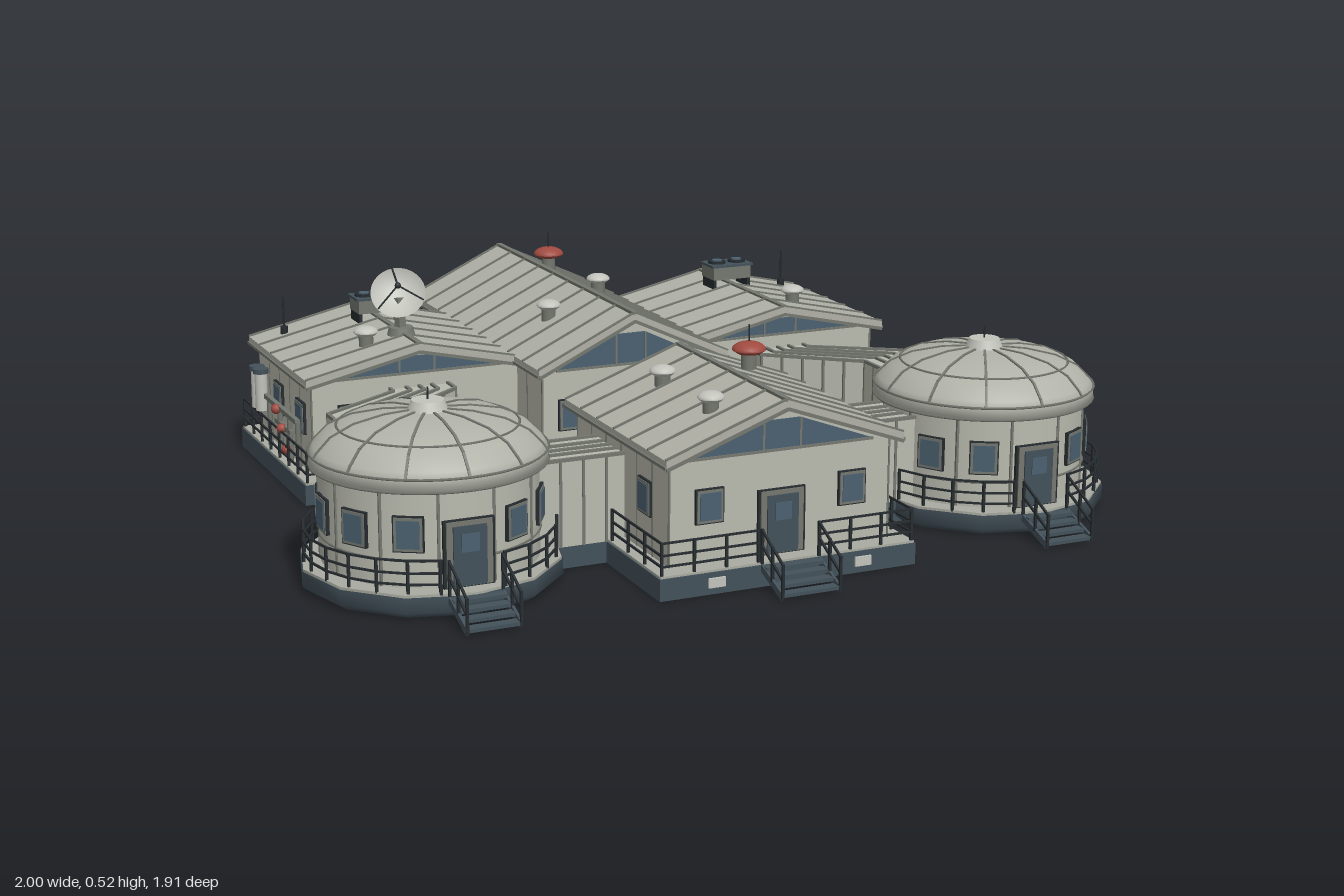
import * as THREE from 'three';

const mat = (name, color) => Object.assign(new THREE.MeshStandardMaterial({ color, side: THREE.DoubleSide }), { name });
const M = {
  wall: mat('wall panel', 0xb9baae), roof: mat('roof panel', 0xb0b1a7), seam: mat('seam grey', 0x74776f),
  deck: mat('deck grey', 0xa9aba1), base: mat('slate base', 0x43515a), glass: mat('blue glass', 0x4b6070),
  dark: mat('dark metal', 0x262c30), red: mat('signal red', 0xa04a40), pale: mat('pale vent', 0xc2c3bb),
};
const V = (x, y, z) => new THREE.Vector3(x, y, z);

function add(parent, name, geo, m, x = 0, y = 0, z = 0) {
  const mesh = new THREE.Mesh(geo, m);
  mesh.name = name;
  mesh.position.set(x, y, z);
  parent.add(mesh);
  return mesh;
}
function group(parent, name, x = 0, y = 0, z = 0, turn = 0) {
  const g = new THREE.Group();
  g.name = name;
  g.position.set(x, y, z);
  g.rotation.y = turn;
  parent.add(g);
  return g;
}
const box = (p, name, m, w, h, d, x, y, z) => add(p, name, new THREE.BoxGeometry(w, h, d), m, x, y, z);
const cyl = (p, name, m, r0, r1, h, x, y, z, n = 16) => add(p, name, new THREE.CylinderGeometry(r0, r1, h, n), m, x, y, z);

// Square bar from a to b
function beam(p, name, m, a, b, w, h = w) {
  const mesh = add(p, name, new THREE.BoxGeometry(w, h, a.distanceTo(b)), m);
  mesh.position.copy(a).lerp(b, 0.5);
  const o = new THREE.Object3D();
  o.position.copy(mesh.position);
  o.lookAt(b);
  mesh.quaternion.copy(o.quaternion);
}
const outline = pts => new THREE.Shape(pts.map(q => new THREE.Vector2(q[0], q[1])));
const extrude = (pts, depth) => new THREE.ExtrudeGeometry(outline(pts), { depth, bevelEnabled: false });

// Handrail with posts following [x, z] points on the deck
function railing(p, pts) {
  const g = group(p, 'railing');
  for (let i = 1; i < pts.length; i++) {
    const [ax, az] = pts[i - 1], [bx, bz] = pts[i];
    for (const y of [0.075, 0.1, 0.128]) beam(g, 'rail', M.dark, V(ax, y, az), V(bx, y, bz), 0.0045);
    const n = Math.max(1, Math.round(Math.hypot(bx - ax, bz - az) / 0.08));
    for (let k = 0; k <= n; k++) {
      box(g, 'railPost', M.dark, 0.006, 0.078, 0.006, ax + (bx - ax) * k / n, 0.091, az + (bz - az) * k / n);
    }
  }
}
function windowUnit(p, x, z, turn, y = 0.185) {
  const g = group(p, 'window', x, y, z, turn);
  box(g, 'windowFrame', M.dark, 0.068, 0.08, 0.008, 0, 0, 0.002);
  box(g, 'windowSurround', M.seam, 0.062, 0.074, 0.008, 0, 0, 0.004);
  box(g, 'windowPane', M.glass, 0.05, 0.062, 0.008, 0, 0, 0.006);
}
function door(p, x, z) {
  const g = group(p, 'door', x, 0.13, z);
  box(g, 'doorFrame', M.dark, 0.116, 0.15, 0.008, 0, 0, 0.003);
  box(g, 'doorSurround', M.seam, 0.104, 0.144, 0.009, 0, 0, 0.006);
  box(g, 'doorLeaf', M.base, 0.076, 0.132, 0.009, 0, -0.004, 0.01);
  box(g, 'doorPane', M.glass, 0.04, 0.04, 0.008, 0, 0.025, 0.013);
}
// Open steps going down towards +z
function stairs(p, x, z, w, run) {
  const g = group(p, 'stairs', x, 0, z);
  for (let i = 0; i < 4; i++) box(g, 'stairTread', M.base, w, 0.008, run / 4, 0, 0.046 - i * 0.012, run * (i + 0.5) / 4);
  for (const s of [-1, 1]) {
    const sx = s * w / 2;
    beam(g, 'stairStringer', M.base, V(sx, 0.045, 0), V(sx, 0.008, run), 0.006, 0.016);
    for (const dy of [0.04, 0.075]) beam(g, 'stairRail', M.dark, V(sx, 0.055 + dy, 0), V(sx, 0.005 + dy, run), 0.005);
    for (const t of [0, 0.5, 1]) box(g, 'stairPost', M.dark, 0.006, 0.08, 0.006, sx, 0.093 - t * 0.05, run * t);
  }
}
function platform(p, x0, x1, z0, z1) {
  const x = (x0 + x1) / 2, z = (z0 + z1) / 2;
  box(p, 'foundation', M.base, x1 - x0, 0.05, z1 - z0, x, 0.025, z);
  box(p, 'deck', M.deck, x1 - x0 - 0.006, 0.006, z1 - z0 - 0.006, x, 0.052, z);
}

// Gabled building, ridge along z; the roof overhangs the walls
function hall(p, name, x, half, z0, z1, eave, ridge, glazed) {
  const g = group(p, name, x), wz0 = z0 + 0.03, wz1 = z1 - 0.03, w = half - 0.02, t = 0.02;
  add(g, 'walls', extrude([[-w, 0.05], [w, 0.05], [w, eave + 0.005], [0, ridge - t], [-w, eave + 0.005]], wz1 - wz0), M.wall, 0, 0, wz0);
  add(g, 'roof', extrude([[-half, eave], [-half, eave + t], [0, ridge], [half, eave + t], [half, eave], [0, ridge - t]], z1 - z0), M.roof, 0, 0, z0);
  box(g, 'ridgeCap', M.seam, 0.014, 0.008, z1 - z0, 0, ridge, (z0 + z1) / 2);
  const n = Math.round((z1 - z0) / 0.1);
  for (const s of [-1, 1]) {
    for (let i = 0; i <= n; i++) {
      const z = z0 + 0.004 + (z1 - z0 - 0.008) * i / n;
      beam(g, 'roofSeam', M.seam, V(0, ridge, z), V(s * half, eave + t, z), 0.006, 0.008);
      const zw = wz0 + (wz1 - wz0) * i / n;
      box(g, 'wallSeam', M.seam, 0.004, eave - 0.055, 0.004, s * w, (eave + 0.055) / 2, zw);
    }
    box(g, 'eaveTrim', M.seam, 0.008, 0.007, z1 - z0, s * half, eave + 0.004, (z0 + z1) / 2);
    for (const z of [z0, z1]) beam(g, 'gableTrim', M.seam, V(0, ridge - t, z), V(s * half, eave, z), 0.006, 0.008);
  }
  // Gable glazing with mullions
  const a = half * 0.78, h = (ridge - eave - t) * 0.76, b = eave + 0.008;
  for (const z of glazed ? [wz0 - 0.004, wz1 - 0.002] : [wz1 - 0.002]) {
    add(g, 'gableWindow', extrude([[-a, b], [a, b], [a * 0.2, b + h * 0.85], [-a * 0.2, b + h * 0.85]], 0.006), M.glass, 0, 0, z);
    for (const m of [-0.2, 0.2]) box(g, 'gableMullion', M.seam, 0.005, h * 0.85, 0.009, m * a, b + h * 0.425, z + 0.003);
    box(g, 'gableSill', M.seam, 2 * a, 0.006, 0.012, 0, b, z + 0.003);
  }
  return g;
}

// Round pod; s is the side, +1 left or -1 right
function pod(p, s) {
  const g = group(p, 'domePod', s * 0.705, 0, 0.485);
  add(g, 'podFoundation', new THREE.LatheGeometry([[0, 0], [0.275, 0], [0.295, 0.015], [0.295, 0.05]].map(q => new THREE.Vector2(...q)), 12), M.base);
  cyl(g, 'podDeck', M.deck, 0.292, 0.292, 0.006, 0, 0.052, 0, 12);
  cyl(g, 'podWall', M.wall, 0.242, 0.242, 0.23, 0, 0.165, 0, 48);
  const prof = [[0.24, 0.262], [0.262, 0.268], [0.262, 0.298], [0.252, 0.312], [0.222, 0.342], [0.17, 0.366], [0.1, 0.38], [0, 0.386]];
  add(g, 'domeRoof', new THREE.LatheGeometry(prof.map(q => new THREE.Vector2(...q)), 48), M.roof);
  for (const [r, y] of [[0.262, 0.27], [0.263, 0.299], [0.2, 0.353], [0.243, 0.115]]) {
    add(g, 'ringSeam', new THREE.TorusGeometry(r, 0.003, 4, 48), M.seam, 0, y, 0).rotation.x = Math.PI / 2;
  }
  for (let i = 0; i < 12; i++) {
    const a = i * Math.PI / 6, b = a + Math.PI / 12;
    for (let k = 2; k < 7; k++) {
      const [r0, y0] = prof[k], [r1, y1] = prof[k + 1];
      beam(g, 'domeRib', M.seam, V(r0 * Math.sin(a), y0, r0 * Math.cos(a)), V(r1 * Math.sin(a), y1, r1 * Math.cos(a)), 0.006);
    }
    box(g, 'wallRib', M.seam, 0.006, 0.21, 0.006, 0.242 * Math.sin(b), 0.16, 0.242 * Math.cos(b));
    if (i === 0) door(g, 0, 0.243);
    else if (i !== 6 && i !== (s > 0 ? 9 : 3)) windowUnit(g, 0.242 * Math.sin(a), 0.242 * Math.cos(a), a, 0.175);
  }
  cyl(g, 'domeCap', M.pale, 0.036, 0.045, 0.022, 0, 0.394, 0, 24);
  cyl(g, 'domeSpike', M.dark, 0.002, 0.002, 0.03, 0, 0.418, 0, 6);
  for (const [from, to] of [[15, 157], [203, 254], [286, 345]]) {
    const n = Math.round((to - from) / 14);
    railing(g, Array.from({ length: n + 1 }, (_, i) => {
      const a = THREE.MathUtils.degToRad(from + (to - from) * i / n);
      return [s * 0.28 * Math.sin(a), 0.28 * Math.cos(a)];
    }));
  }
  stairs(g, 0, 0.29, 0.12, 0.105);
}

// Covered corridor between two edge lines of [x, z] points
function corridor(p, inner, outer) {
  const g = group(p, 'corridor');
  const pts = [...outer, ...[...inner].reverse()].map(([x, z]) => [x, -z]);
  add(g, 'corridorBase', extrude(pts, 0.05), M.base).rotation.x = -Math.PI / 2;
  add(g, 'corridorBody', extrude(pts, 0.2), M.wall, 0, 0.05, 0).rotation.x = -Math.PI / 2;
  for (let i = 1; i < inner.length; i++) {
    for (const t of [0, 0.28, 0.5, 0.72, 1]) {
      const at = k => V(inner[k][0] + (outer[k][0] - inner[k][0]) * t, 0.252, inner[k][1] + (outer[k][1] - inner[k][1]) * t);
      beam(g, 'corridorRoofRib', M.seam, at(i - 1), at(i), 0.008);
    }
    for (const e of [inner, outer]) {
      const [ax, az] = e[i - 1], [bx, bz] = e[i], n = Math.round(Math.hypot(bx - ax, bz - az) / 0.05);
      for (let k = 0; k <= n; k++) box(g, 'corridorWallRib', M.seam, 0.006, 0.2, 0.006, ax + (bx - ax) * k / n, 0.15, az + (bz - az) * k / n);
    }
  }
}
// Mushroom vent, or a red beacon with a spike
function vent(p, x, y, z, red) {
  const g = group(p, red ? 'beacon' : 'roofVent', x, y, z), r = red ? 0.04 : 0.031;
  cyl(g, 'ventStem', M.seam, 0.018, 0.018, 0.05, 0, 0, 0);
  const cap = add(g, 'ventCap', new THREE.SphereGeometry(r, 20, 6, 0, Math.PI * 2, 0, Math.PI / 2), red ? M.red : M.pale, 0, 0.02, 0);
  cap.scale.y = 0.5;
  cyl(g, 'ventUnderside', red ? M.red : M.pale, r, r * 0.7, 0.008, 0, 0.016, 0, 20);
  if (red) cyl(g, 'beaconSpike', M.dark, 0.002, 0.002, 0.04, 0, 0.06, 0, 6);
}

export function createModel() {
  const root = new THREE.Group();
  root.name = 'outpost';
  platform(root, -0.283, 0.283, -0.955, 0.04);
  platform(root, -0.315, 0.315, 0.225, 0.85);
  const main = hall(root, 'mainHall', 0, 0.255, -0.925, 0.01, 0.29, 0.43, false);
  const front = hall(root, 'frontHall', 0, 0.29, 0.26, 0.828, 0.285, 0.41, true);
  door(front, 0, 0.798);
  stairs(root, 0, 0.85, 0.14, 0.1);

  // Cargo door and ladder on the back wall
  const cargo = group(main, 'cargoDoor', 0.02, 0.15, -0.897, Math.PI);
  box(cargo, 'cargoFrame', M.seam, 0.24, 0.19, 0.008, 0, 0, 0.002);
  for (const s of [-1, 1]) {
    box(cargo, 'cargoLeaf', M.wall, 0.108, 0.176, 0.009, s * 0.057, 0, 0.005);
    beam(cargo, 'cargoBrace', M.seam, V(s * 0.01, 0.082, 0.011), V(s * 0.105, -0.082, 0.011), 0.008);
    beam(main, 'ladderRail', M.dark, V(-0.18 + s * 0.022, 0.06, -0.905), V(-0.18 + s * 0.022, 0.29, -0.905), 0.006);
  }
  for (let i = 0; i < 10; i++) box(main, 'ladderRung', M.dark, 0.044, 0.005, 0.005, -0.18, 0.075 + i * 0.022, -0.905);

  for (const s of [-1, 1]) {
    const turn = s * Math.PI / 2;
    platform(root, s > 0 ? 0.283 : -0.81, s > 0 ? 0.81 : -0.283, -0.7, -0.125);
    const wing = hall(root, 'sideWing', s * 0.5, 0.29, -0.67, -0.158, 0.28, 0.365, true);
    for (const x of [-0.1, 0.14]) windowUnit(wing, s * x, -0.641, Math.PI);
    windowUnit(wing, s * 0.17, -0.187, 0);
    for (const z of [-0.27, -0.46]) windowUnit(wing, s * 0.271, z, turn);
    windowUnit(main, s * 0.236, -0.73, turn);
    windowUnit(main, s * 0.16, -0.019, 0);
    windowUnit(front, s * 0.175, 0.799, 0);
    windowUnit(front, s * 0.14, 0.289, Math.PI);
    for (const z of [0.35, 0.68]) windowUnit(front, s * 0.271, z, turn);
    box(root, 'baseLamp', M.pale, 0.04, 0.022, 0.008, s * 0.18, 0.027, 0.851);

    pod(root, s);
    corridor(root, [[0.63, 0.28], [0.63, 0.04], [0.42, -0.13], [0.42, -0.2]].map(q => [s * q[0], q[1]]),
      [[0.78, 0.28], [0.78, -0.02], [0.57, -0.16], [0.57, -0.2]].map(q => [s * q[0], q[1]]));
    corridor(root, [[s * 0.26, 0.408], [s * 0.48, 0.408]], [[s * 0.26, 0.56], [s * 0.48, 0.56]]);
    railing(root, [[s * 0.29, -0.692], [s * 0.802, -0.692], [s * 0.802, -0.132], [s * 0.6, -0.132]]);
    railing(root, [[s * 0.075, 0.842], [s * 0.307, 0.842], [s * 0.307, 0.575]]);
    railing(root, [[s * 0.307, 0.395], [s * 0.307, 0.233], [0, 0.233]]);

    // Roof cooler with twin fans
    const cooler = group(root, 'roofCooler', s * 0.5, 0, -0.505);
    box(cooler, 'coolerBody', M.seam, 0.11, 0.034, 0.075, 0, 0.395, 0);
    box(cooler, 'coolerLid', M.base, 0.12, 0.006, 0.08, 0, 0.415, 0);
    for (const f of [-1, 1]) {
      cyl(cooler, 'fanRing', M.dark, 0.024, 0.024, 0.008, f * 0.029, 0.42, 0, 20);
      cyl(cooler, 'fanHub', M.glass, 0.014, 0.014, 0.004, f * 0.029, 0.425, 0, 12);
      box(cooler, 'coolerLeg', M.dark, 0.008, 0.04, 0.07, f * 0.05, 0.362, 0);
    }
    cyl(root, 'antennaMast', M.dark, 0.003, 0.003, 0.11, s * 0.715, 0.36, -0.6, 6);
    cyl(root, 'antennaFoot', M.dark, 0.01, 0.01, 0.03, s * 0.715, 0.32, -0.6, 8);

    // Outer wall pipework, valves and tanks
    const pipes = group(root, 'pipework', s * 0.788, 0, 0);
    for (const [y, z0, z1] of [[0.175, -0.25, -0.54], [0.135, -0.3, -0.44]]) beam(pipes, 'pipe', M.seam, V(0, y, z0), V(0, y, z1), 0.012);
    for (const z of [-0.25, -0.32, -0.405, -0.5]) cyl(pipes, 'pipeDrop', M.seam, 0.007, 0.007, 0.12, 0, 0.115, z, 8);
    for (const [y, z] of [[0.09, -0.32], [0.133, -0.36], [0.172, -0.405]]) add(pipes, 'valve', new THREE.SphereGeometry(0.013, 12, 8), M.red, s * 0.01, y, z);
    for (const z of [-0.545, -0.58]) {
      cyl(pipes, 'tank', M.pale, 0.016, 0.016, 0.1, s * 0.008, 0.185, z);
      cyl(pipes, 'tankCap', M.base, 0.02, 0.02, 0.012, s * 0.008, 0.238, z);
    }
  }

  // Roof vents and beacons
  for (const [x, y, z] of [[-0.12, 0.385, -0.26], [0.11, 0.39, -0.48], [0.59, 0.355, -0.29], [-0.595, 0.355, -0.29], [-0.12, 0.375, 0.435], [-0.12, 0.375, 0.69]]) vent(root, x, y, z);
  vent(root, 0.05, 0.425, -0.68, true);
  vent(root, 0.09, 0.41, 0.455, true);

  // Tilted dish with feed struts
  const dish = group(root, 'dishAntenna'), n = V(-0.25, 0.62, 0.74).normalize(), c = V(-0.51, 0.468, -0.287);
  const bowl = add(dish, 'dishBowl', new THREE.SphereGeometry(0.1, 28, 8, 0, Math.PI * 2, 0, 0.75), M.pale);
  bowl.quaternion.setFromUnitVectors(V(0, -1, 0), n);
  bowl.position.copy(c).addScaledVector(n, 0.073);
  const tip = c.clone().addScaledVector(n, 0.04);
  for (let i = 0; i < 3; i++) {
    const rim = V(0.066, 0, 0).applyAxisAngle(V(0, 1, 0), i * Math.PI * 2 / 3).applyQuaternion(bowl.quaternion).add(c);
    beam(dish, 'dishStrut', M.dark, rim, tip, 0.004);
  }
  add(dish, 'dishFeed', new THREE.SphereGeometry(0.008, 10, 8), M.dark).position.copy(tip);
  beam(dish, 'dishMast', M.seam, V(-0.5, 0.35, -0.3), c.clone().addScaledVector(n, -0.028), 0.02);
  cyl(dish, 'dishFoot', M.seam, 0.03, 0.035, 0.02, -0.5, 0.368, -0.3);
  return root;
}
